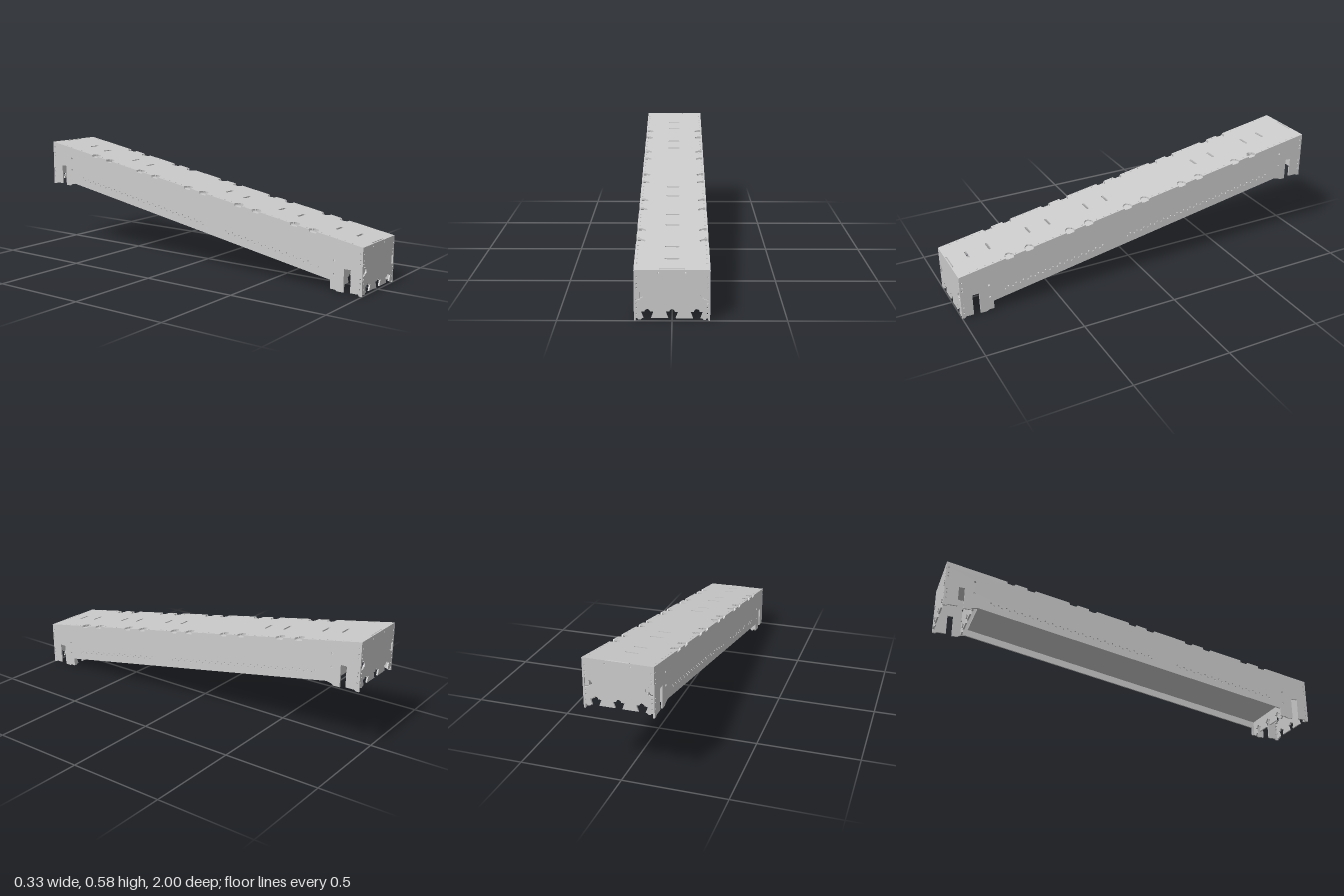
import * as THREE from 'three';

const W = 0.165, T = 0.008, SLOPE = 0.1755, RISE = 0.351;
const CLIPS = [-0.67, -0.565, -0.34, -0.235, -0.015, 0.085, 0.305, 0.41, 0.63, 0.735];
const SLOTS = [-0.83, -0.725, -0.51, -0.4, 0.14, 0.25, 0.465, 0.575, 0.79, 0.9];
const mat = new THREE.MeshStandardMaterial({ color: 0xcccccc, flatShading: true, side: THREE.DoubleSide });

// trapezoid cut with a half-round relief: pairs of [along, depth]
function notch(c, w0, w1, d, r) {
  const p = [[c - w0, 0], [c - w1, d]];
  for (let i = 0; i <= 6; i++) {
    const a = Math.PI * (1 - i / 6);
    p.push([c + r * Math.cos(a), d + r * Math.sin(a)]);
  }
  p.push([c + w1, d], [c + w0, 0]);
  return p;
}
const clipNotch = (c) => notch(c, 0.026, 0.019, 0.028, 0.014);
const toShape = (pts) => new THREE.Shape(pts.map(([x, y]) => new THREE.Vector2(x, y)));

function hole(shape, x, y, r = 0.004) {
  const pts = [];
  for (let i = 0; i < 6; i++) {
    const a = -i * Math.PI / 3;
    pts.push(new THREE.Vector2(x + r * Math.cos(a), y + r * Math.sin(a)));
  }
  shape.holes.push(new THREE.Path(pts));
}

const sheet = (shape) => new THREE.ExtrudeGeometry(shape, { depth: T, bevelEnabled: false, curveSegments: 6 });

// raise vertices along the incline
function incline(geo, y0, slope) {
  const p = geo.attributes.position;
  for (let i = 0; i < p.count; i++) p.setY(i, p.getY(i) + y0 - slope * p.getZ(i));
  geo.computeVertexNormals();
  return geo;
}

// vertical cross plate with dovetail cuts along its lower edge
function crossPlate(w, top, withClips) {
  const pts = [[-w, 0.012], [-0.15, 0.012], [-0.146, 0.005], [-0.136, 0.005], [-0.13, 0.012]];
  for (const c of [-0.107, 0, 0.107]) {
    for (const [a, d] of notch(c, 0.016, 0.027, 0.03, 0.012)) pts.push([a, 0.012 + d]);
  }
  pts.push([0.13, 0.012], [0.136, 0.005], [0.146, 0.005], [0.15, 0.012], [w, 0.012]);
  const edge = withClips ? clipNotch(0.117) : [];
  for (const [a, d] of edge) pts.push([w - d, a]);
  pts.push([w, top], [-w, top]);
  for (const [a, d] of edge.slice().reverse()) pts.push([-w + d, a]);
  const s = toShape(pts);
  for (const m of [-1, 1]) {
    if (!withClips) continue;
    for (const y of [0.033, 0.06, 0.08, 0.152, 0.17, 0.2]) hole(s, m * 0.153, y);
    hole(s, m * 0.058, 0.219);
  }
  return sheet(s);
}

// side wall in (z, y)
function sideWall() {
  const topY = (z) => 0.4075 - SLOPE * z;
  const pts = [
    [-1, 0.34], [-0.985, 0.34], [-0.975, 0.346], [-0.93, 0.346], [-0.93, 0.45], [-0.9, 0.45],
    [-0.9, 0.338], [-0.87, 0.338], [-0.855, 0.347], [-0.83, 0.352],
    [0.834, 0.055], [0.834, 0.012], [0.86, 0.012], [0.87, 0.005], [0.905, 0.005],
    [0.905, 0.118], [0.94, 0.118], [0.94, 0.008], [0.98, 0.008], [0.985, 0], [1, 0], [1, topY(1)],
  ];
  for (const c of CLIPS.slice().reverse()) {
    pts.push([c + 0.022, topY(c + 0.022)], [c + 0.018, topY(c) - 0.012],
      [c - 0.018, topY(c) - 0.012], [c - 0.022, topY(c - 0.022)]);
  }
  pts.push([-1, topY(-1)]);
  const s = toShape(pts);
  // fixing holes along the floor line, at the bulkheads and the ends
  for (let i = 0; i < 39; i++) {
    const z = 0.77 - i * 0.04;
    if (z > 0.11 && z < 0.22) continue;
    hole(s, z, 0.2035 - 0.179 * z + 0.04);
    hole(s, z - 0.016, 0.2035 - 0.179 * z + 0.053);
  }
  for (const [z, b] of [[0.853, 0], [-0.853, 0.345]]) {
    hole(s, z, b + 0.085, 0.006);
    hole(s, z, b + 0.15, 0.006);
  }
  for (const [z, b] of [[0.988, 0], [-0.988, RISE]]) {
    for (const y of [0.03, 0.06, 0.08, 0.152, 0.17, 0.2]) hole(s, z, b + y);
  }
  return sheet(s).rotateY(-Math.PI / 2);
}

// sloping cover with edge cuts and centre slots, drawn in (x, -z)
function cover() {
  const pts = [[-W, -1], [-0.055, -1], [-0.055, -0.988], [0.055, -0.988], [0.055, -1], [W, -1]];
  const cs = CLIPS.map((z) => -z).sort((a, b) => a - b);
  for (const c of cs) for (const [a, d] of clipNotch(c)) pts.push([W - d, a]);
  pts.push([W, 1], [0.055, 1], [0.055, 0.988], [-0.055, 0.988], [-0.055, 1], [-W, 1]);
  for (const c of cs.reverse()) for (const [a, d] of clipNotch(c).reverse()) pts.push([-W + d, a]);
  const s = toShape(pts);
  for (const z of SLOTS) {
    const h = new THREE.Path();
    h.absarc(0.027, -z, 0.006, Math.PI / 2, -Math.PI / 2, true);
    h.absarc(-0.027, -z, 0.006, -Math.PI / 2, -Math.PI * 1.5, true);
    s.holes.push(h);
  }
  for (let i = 0; i < 48; i++) {
    const z = -0.94 + i * 0.04;
    if (CLIPS.some((c) => Math.abs(c - z) < 0.033)) continue;
    hole(s, 0.153, -z);
    hole(s, -0.153, -z);
  }
  return incline(sheet(s).rotateX(-Math.PI / 2), 0.4075 - T, SLOPE);
}

// tapered locking tab, drawn from its outer edge inwards (+x)
const lockTab = () => sheet(toShape([[0, -0.022], [0.026, -0.017], [0.026, 0.017], [0, 0.022]]));

export function createModel() {
  const g = new THREE.Group();
  const add = (name, geo, x = 0, y = 0, z = 0) => {
    const m = new THREE.Mesh(geo, mat);
    m.name = name;
    m.position.set(x, y, z);
    g.add(m);
    return m;
  };

  add('cover', cover());
  add('leftWall', sideWall(), W);
  add('rightWall', sideWall(), -W + T);

  // end panels with the tab that locks into the cover
  const end = crossPlate(W, 0.2315, true);
  add('frontPanel', end, 0, 0, 1 - T);
  add('backPanel', end, 0, RISE - 0.002, -1);
  const tongue = new THREE.BoxGeometry(0.106, 0.012, T);
  add('frontTongue', tongue, 0, 0.227, 1 - T / 2);
  add('backTongue', tongue, 0, 0.577, -1 + T / 2);

  // inner bulkheads and recessed floor
  const bulkhead = crossPlate(W - T, 0.14, false);
  add('frontBulkhead', bulkhead, 0, 0, 0.846);
  add('backBulkhead', bulkhead, 0, 0.34, -0.855);
  const floor = new THREE.BoxGeometry(2 * (W - T), T, 1.665).translate(0, 0, 0.0135);
  add('floor', incline(floor, 0.2435, 0.179));

  // locking tabs seated just inside the edge cuts
  for (const m of [-1, 1]) {
    const turn = m > 0 ? Math.PI : 0;
    for (const c of CLIPS) {
      const geo = lockTab().rotateZ(turn).rotateX(-Math.PI / 2).translate(m * W, 0, c);
      add('coverTab', incline(geo, 0.4075 - T - 0.011, SLOPE));
    }
    const geo = lockTab().rotateZ(turn);
    add('frontTab', geo, m * W, 0.117, 1 - T - 0.008);
    add('backTab', geo, m * W, RISE + 0.115, -1 + 0.008);
  }
  return g;
}
